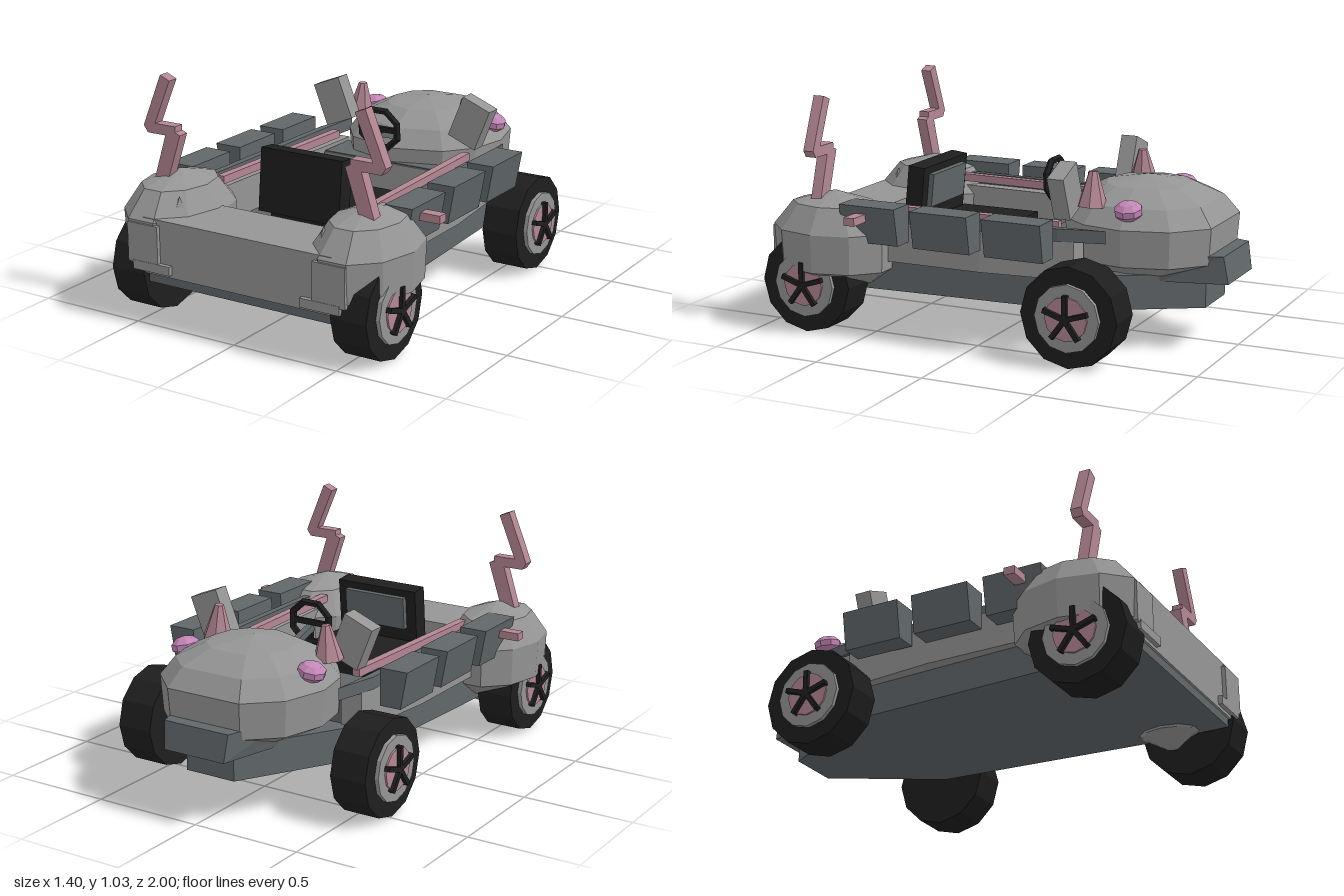
import * as THREE from 'three';

const mat = (name, color) => {
  const m = new THREE.MeshStandardMaterial({ color, flatShading: true });
  m.name = name;
  return m;
};

// Non-indexed geometry with one normal per face
function facet(g) {
  const f = g.index ? g.toNonIndexed() : g;
  f.deleteAttribute('uv');
  f.computeVertexNormals();
  return f;
}

// Copy of a geometry reflected in x, with its triangles turned round
function reflect(g) {
  const f = g.clone(), p = f.attributes.position;
  for (let i = 0; i < p.count; i += 3) {
    const v = [0, 2, 1].map(k => [-p.getX(i + k), p.getY(i + k), p.getZ(i + k)]);
    v.forEach((q, k) => p.setXYZ(i + k, ...q));
  }
  f.computeVertexNormals();
  return f;
}

// Closed skin through horizontal rings, lowest first, counterclockwise from above
function loft(rings) {
  const out = [], n = rings[0].length;
  const cap = (r, up) => {
    const c = [0, 1, 2].map(k => r.reduce((s, q) => s + q[k], 0) / n);
    for (let j = 0; j < n; j++) {
      const a = r[j], b = r[(j + 1) % n];
      out.push(...c, ...(up ? a : b), ...(up ? b : a));
    }
  };
  cap(rings[0], false);
  for (let i = 0; i + 1 < rings.length; i++) for (let j = 0; j < n; j++) {
    const k = (j + 1) % n, a = rings[i][j], b = rings[i][k], c = rings[i + 1][k], d = rings[i + 1][j];
    out.push(...a, ...b, ...c, ...a, ...c, ...d);
  }
  cap(rings[rings.length - 1], true);
  const g = new THREE.BufferGeometry();
  g.setAttribute('position', new THREE.Float32BufferAttribute(out, 3));
  return facet(g);
}

// Full outline from its +x half, listed from +z to -z
const symmetric = half => [...half, ...half.filter(p => p[0] > 0).reverse().map(([x, z]) => [-x, z])];
const level = (outline, y, s = 1, cz = 0) => outline.map(([x, z]) => [x * s, y, cz + (z - cz) * s]);

function box(w, h, d, x, y, z, rx = 0, ry = 0, rz = 0) {
  const g = new THREE.BoxGeometry(w, h, d);
  g.rotateX(rx).rotateY(ry).rotateZ(rz).translate(x, y, z);
  return facet(g);
}

// Disc lying across the x axis
const disc = (r, w, sides, x) => facet(new THREE.CylinderGeometry(r, r, w, sides).rotateZ(-Math.PI / 2).translate(x, 0, 0));

export function createModel() {
  const root = new THREE.Group();
  const grey = mat('body grey', 0x969596);
  const slate = mat('slate', 0x61676a);
  const black = mat('black', 0x1e1e1e);
  const pink = mat('dusty pink', 0xb38692);
  const mauve = mat('mauve', 0xc487b8);

  const add = (name, g, m, parent = root) => {
    const mesh = new THREE.Mesh(g, m);
    mesh.name = name;
    parent.add(mesh);
  };
  const both = (name, g, m) => {
    add(name + 'Left', g, m);
    add(name + 'Right', reflect(g), m);
  };

  // Chassis tub, tapering to a narrow nose
  const floor = symmetric([[0.455, 0.97], [0.46, 0.6], [0.4, -0.42], [0.12, -0.89]]);
  add('chassis', loft([level(floor, 0.18), level(floor, 0.33)]), slate);
  const lip = symmetric([[0.25, -0.72], [0.16, -0.98]]);
  const lipLow = symmetric([[0.22, -0.72], [0.15, -1]]);
  add('noseBumper', loft([level(lipLow, 0.3), level(lip, 0.42)]), slate);

  // Cockpit walls, rear deck and dash
  const wall = [[0.49, 0.75], [0.485, 0], [0.44, -0.42], [0.34, -0.42], [0.39, 0.75]];
  both('sideWall', loft([level(wall, 0.32), level(wall, 0.49)]), grey);
  const sill = [[0.465, 0.62], [0.455, -0.35], [0.41, -0.55], [0.42, -0.35], [0.435, 0.62]];
  both('sillStrip', loft([level(sill, 0.485), level(sill, 0.54)]), slate);
  add('rearDeck', box(0.94, 0.245, 0.3, 0, 0.3425, 0.83), grey);
  add('dash', box(0.68, 0.15, 0.2, 0, 0.4, -0.31), slate);
  add('dashPanel', box(0.68, 0.14, 0.008, 0, 0.4, -0.206), grey);

  // Faceted bonnet
  const hood = symmetric([[0, -0.21], [0.24, -0.29], [0.34, -0.42], [0.375, -0.6], [0.32, -0.8], [0.18, -0.93]]);
  const hoodRings = [[0.31, 0.62], [0.38, 0.97], [0.54, 1], [0.62, 0.83], [0.68, 0.5], [0.71, 0.02]];
  add('bonnet', loft(hoodRings.map(([y, s]) => level(hood, y, s, -0.57))), grey);

  // Bonnet ornaments: eyes, horns and ears
  const eye = new THREE.SphereGeometry(0.064, 8, 5).scale(1, 0.66, 1).rotateZ(-0.2).translate(0.322, 0.615, -0.615);
  both('eye', facet(eye), mauve);
  const horn = new THREE.CylinderGeometry(0.02, 0.066, 0.15, 7).rotateZ(0.08).translate(0.28, 0.685, -0.435);
  both('horn', facet(horn), pink);
  both('ear', box(0.145, 0.2, 0.075, 0.362, 0.685, -0.345, 0, 0, -0.38), grey);

  // Rear fenders, tucked inside the wheel at the bottom
  const fenderRing = (y, s, cx) => Array.from({ length: 10 }, (_, i) => {
    const a = i * Math.PI / 5;
    return [cx + 0.212 * s * Math.cos(a), y, 0.715 - 0.29 * s * Math.sin(a)];
  });
  both('rearFender', loft([
    fenderRing(0.12, 0.1, 0.43), fenderRing(0.17, 0.42, 0.39), fenderRing(0.28, 0.97, 0.475),
    fenderRing(0.45, 1, 0.475), fenderRing(0.56, 0.68, 0.475), fenderRing(0.61, 0.03, 0.47),
  ]), grey);
  both('tailLamp', box(0.155, 0.175, 0.12, 0.4625, 0.3525, 0.938), grey);
  both('tailLip', box(0.19, 0.04, 0.1, 0.42, 0.255, 0.95), grey);
  const stud = new THREE.ConeGeometry(0.035, 0.07, 4).translate(0.36, 0.51, 0.87);
  both('fenderStud', facet(stud), grey);

  // Zigzag aerials
  const zig = [[0.505, 1.03], [0.457, 1.01], [0.54, 0.815], [0.435, 0.815], [0.435, 0.79], [0.41, 0.78],
    [0.48, 0.57], [0.55, 0.57], [0.487, 0.77], [0.58, 0.77], [0.6, 0.8]];
  const zigShape = new THREE.Shape(zig.map(p => new THREE.Vector2(...p)));
  const zigGeo = new THREE.ExtrudeGeometry(zigShape, { depth: 0.05, bevelEnabled: false }).translate(0, 0, 0.742);
  both('aerial', facet(zigGeo), pink);

  // Side rods and pegs
  both('sideRod', box(0.036, 0.035, 0.87, 0.363, 0.53, 0.12, 0, 0.036), pink);
  both('sidePeg', box(0.16, 0.035, 0.05, 0.62, 0.533, 0.51), pink);

  // Side pods, slightly narrower at the bottom
  for (const [i, z] of [0.475, 0.13, -0.21].entries()) {
    const foot = outer => [[outer, z + 0.135], [outer, z - 0.135], [0.485, z - 0.135], [0.485, z + 0.135]];
    both('sidePod' + (i + 1), loft([level(foot(0.585), 0.418), level(foot(0.615), 0.585)]), slate);
  }

  // Seat
  add('seatCushion', box(0.41, 0.11, 0.38, 0, 0.385, 0.24), black);
  add('seatBack', box(0.41, 0.28, 0.08, 0, 0.547, 0.468, -0.1), black);
  add('seatBackPad', box(0.31, 0.15, 0.03, 0, 0.575, 0.416, -0.1), slate);

  // Steering wheel
  const steering = new THREE.Group();
  steering.name = 'steeringWheel';
  steering.position.set(0, 0.65, -0.135);
  steering.rotation.x = 0.05;
  root.add(steering);
  const rim = new THREE.TorusGeometry(0.092, 0.016, 5, 8).rotateZ(Math.PI / 8).scale(1.1, 1, 1);
  add('steeringRim', facet(rim), black, steering);
  add('steeringBar', box(0.18, 0.025, 0.016, 0, 0, 0), black, steering);
  add('steeringStem', box(0.025, 0.09, 0.016, 0, -0.045, 0), black, steering);
  add('steeringColumn', box(0.03, 0.03, 0.16, 0, -0.05, -0.07, -0.35), slate, steering);

  // Wheels: tyre, rim, hub and five spokes
  const spokes = Array.from({ length: 5 }, (_, i) => {
    const a = i * Math.PI * 2 / 5;
    return facet(new THREE.BoxGeometry(0.024, 0.105, 0.021).translate(0.115, 0.05, 0).rotateX(a));
  });
  const wheelParts = [
    ['tyre', disc(0.217, 0.168, 12, 0), black],
    ['wheelRim', disc(0.145, 0.02, 12, 0.092), grey],
    ['hub', disc(0.095, 0.01, 12, 0.105), pink],
    ...spokes.map((g, i) => ['spoke' + (i + 1), g, black]),
  ];
  for (const [place, z] of [['front', -0.483], ['rear', 0.775]]) for (const s of [1, -1]) {
    const wheel = new THREE.Group();
    wheel.name = place + 'Wheel' + (s > 0 ? 'Left' : 'Right');
    wheel.position.set(0.55 * s, 0.217, z);
    root.add(wheel);
    for (const [name, g, m] of wheelParts) add(name, s > 0 ? g : reflect(g), m, wheel);
  }

  return root;
}
